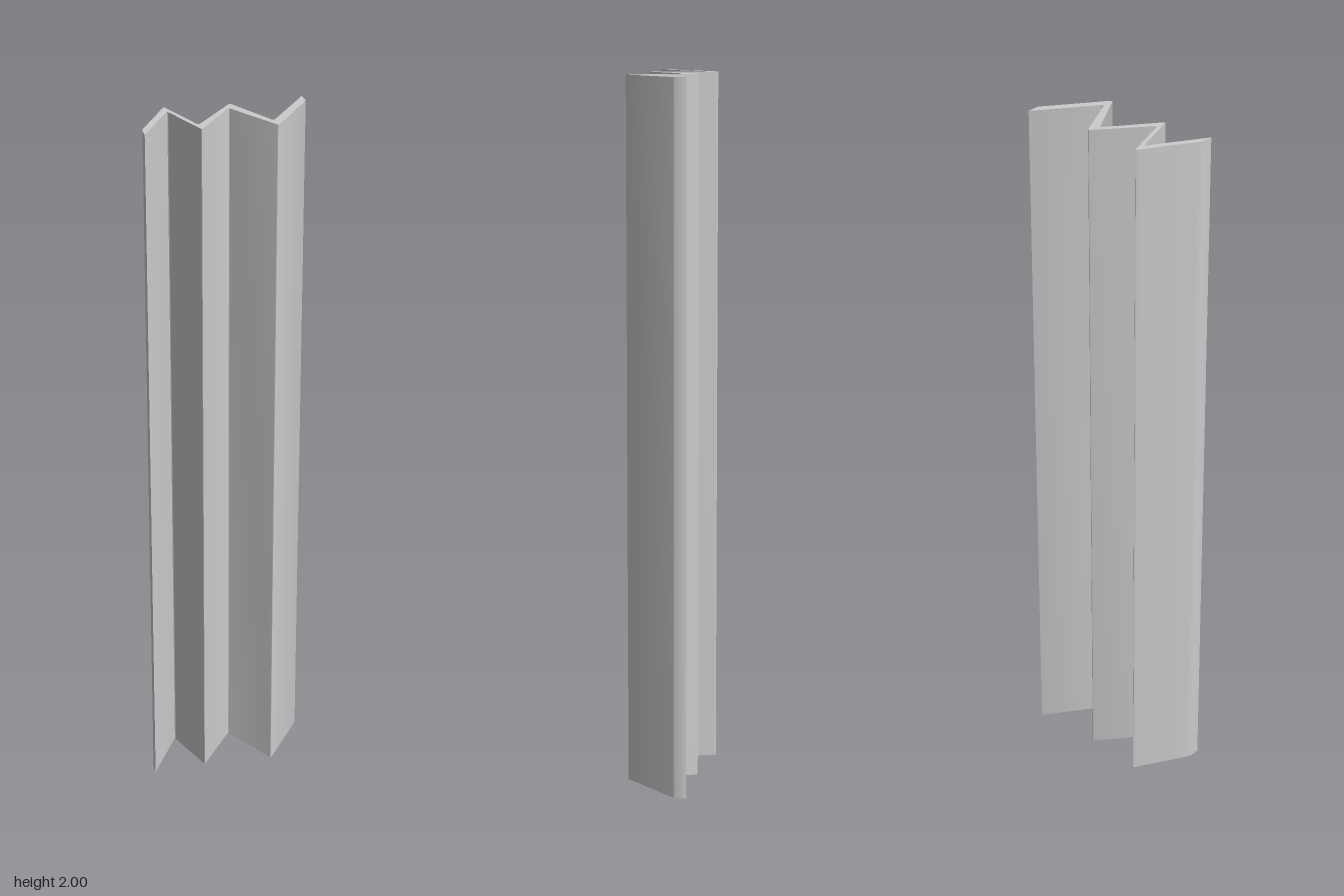
import * as THREE from 'three';
import { toCreasedNormals } from 'three/addons/utils/BufferGeometryUtils.js';

// Zigzag section corners as [x, z, rounding distance]
const SECTION = [
  [0.103, -0.234, 0.002], [0.131, -0.209, 0.006], [0.163, -0.008, 0.008],
  [-0.014, -0.051, 0.010], [0.011, 0.123, 0.005], [-0.138, 0.057, 0.008],
  [-0.093, 0.234, 0.003], [-0.118, 0.209, 0.010], [-0.165, 0.032, 0.006],
  [-0.014, 0.099, 0.008], [-0.031, -0.083, 0.007], [0.135, -0.032, 0.010],
];

// Closed shape with every corner softened by a small curve
function roundedShape(corners) {
  const pts = corners.map(([x, z]) => new THREE.Vector2(x, -z));
  const n = pts.length;
  const toward = (a, b, d) => a.clone().add(b.clone().sub(a).setLength(d));
  const shape = new THREE.Shape();
  for (let i = 0; i < n; i++) {
    const p = pts[i], d = corners[i][2];
    const start = toward(p, pts[(i + n - 1) % n], d);
    const end = toward(p, pts[(i + 1) % n], d);
    if (i === 0) shape.moveTo(start.x, start.y);
    else shape.lineTo(start.x, start.y);
    shape.quadraticCurveTo(p.x, p.y, end.x, end.y);
  }
  shape.closePath();
  return shape;
}

export function createModel() {
  const group = new THREE.Group();
  group.name = 'zigzagProfile';

  // Section extruded upward along its full height
  const geometry = new THREE.ExtrudeGeometry(roundedShape(SECTION), {
    depth: 2, bevelEnabled: false, curveSegments: 4,
  });
  geometry.rotateX(-Math.PI / 2);

  const bar = new THREE.Mesh(
    toCreasedNormals(geometry, Math.PI / 5),
    new THREE.MeshStandardMaterial({ color: 0xcccccc }),
  );
  bar.name = 'foldedBar';
  group.add(bar);
  return group;
}
